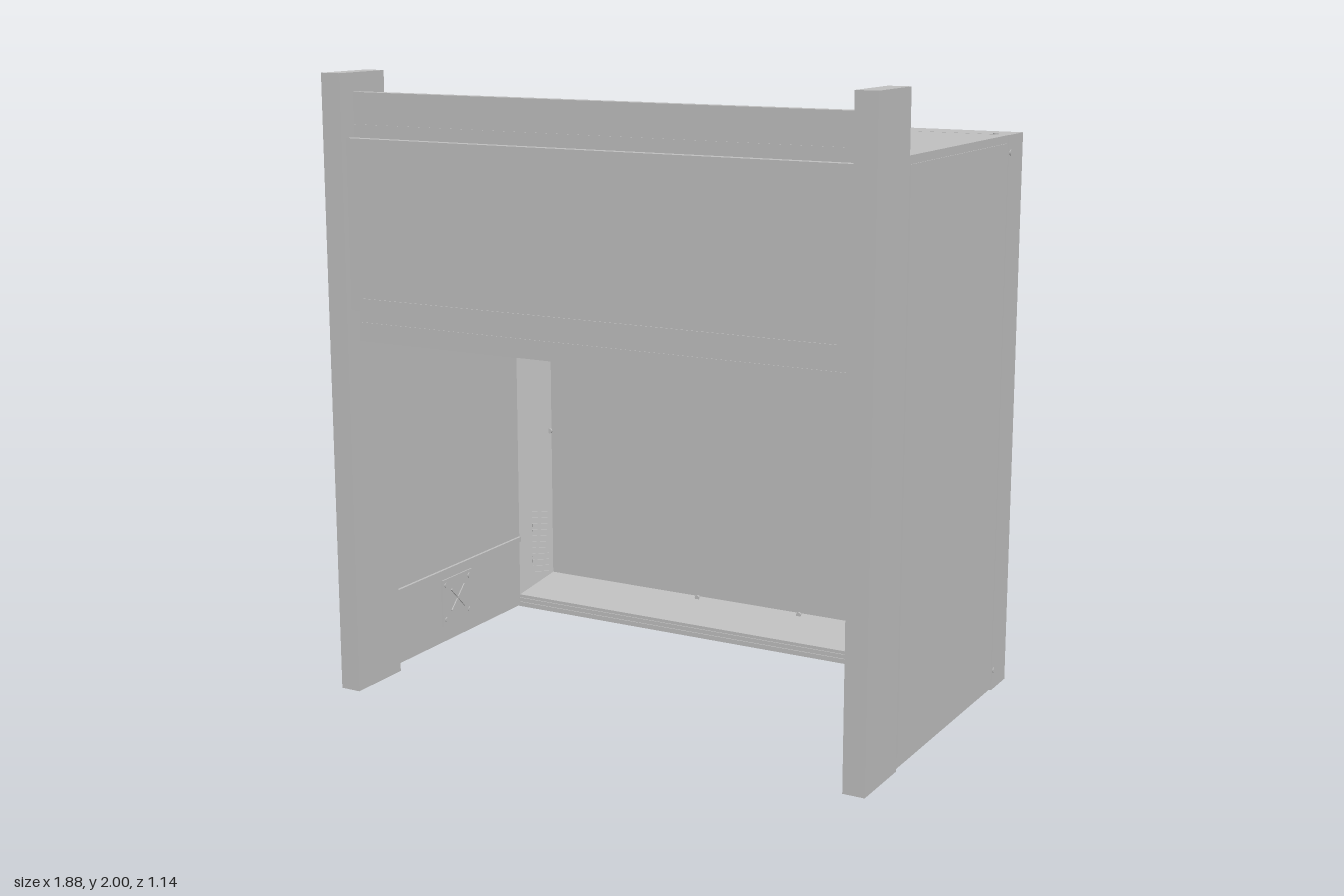
import * as THREE from 'three';

export function createModel() {
  const model = new THREE.Group();
  const steel = new THREE.MeshStandardMaterial({ color: 0xc0c0c0 });
  steel.name = 'light grey steel';

  const add = (name, geometry, parent = model) => {
    const mesh = new THREE.Mesh(geometry, steel);
    mesh.name = name;
    parent.add(mesh);
    return mesh;
  };
  // Box given by its limits on each axis
  const box = (name, x0, x1, y0, y1, z0, z1) => {
    const mesh = add(name, new THREE.BoxGeometry(x1 - x0, y1 - y0, z1 - z0));
    mesh.position.set((x0 + x1) / 2, (y0 + y1) / 2, (z0 + z1) / 2);
    return mesh;
  };
  // Box on the left or right side, x measured outward from the middle
  const sideBox = (name, s, x0, x1, y0, y1, z0, z1) =>
    box(name, Math.min(s * x0, s * x1), Math.max(s * x0, s * x1), y0, y1, z0, z1);
  // Small round screw head; axis is the direction it points along
  const screw = (x, y, z, axis) => {
    const mesh = add('screw', new THREE.CylinderGeometry(0.009, 0.009, 0.008, 12));
    mesh.position.set(x, y, z);
    if (axis === 'x') mesh.rotation.z = Math.PI / 2;
    if (axis === 'z') mesh.rotation.x = Math.PI / 2;
  };

  // Posts, walls and outer panels, mirrored
  for (const s of [-1, 1]) {
    sideBox('frontPost', s, 0.865, 0.935, 0, 2, 0.345, 0.57);
    sideBox('sideWall', s, 0.905, 0.932, 0.005, 1.81, -0.445, 0.345);
    sideBox('rearCorner', s, 0.905, 0.935, 0, 1.81, -0.57, -0.445);
    sideBox('sidePanel', s, 0.93, 0.935, s < 0 ? 0.27 : 0.04, 1.785, -0.44, 0.337);
    for (const y of [0.065, 1.755]) screw(s * 0.934, y, -0.46, 'x');
    for (const y of [0.15, 1.66]) screw(s * 0.8, y, -0.569, 'z');
    screw(s * 0.885, 1.81, -0.46, 'y');
  }

  // Roof with its cover panel and rear access plate
  box('roof', -0.932, 0.932, 1.75, 1.806, -0.57, 0.345);
  box('roofFront', -0.865, 0.865, 1.75, 1.806, 0.345, 0.475);
  box('roofRearStrip', -0.935, 0.935, 1.75, 1.81, -0.57, -0.452);
  box('roofPanel', -0.905, 0.905, 1.80, 1.81, -0.446, 0.335);
  box('roofAccessPlate', -0.14, 0.14, 1.807, 1.814, -0.555, -0.515);
  for (let i = 0; i < 16; i++) {
    const rivet = add('roofRivet', new THREE.CylinderGeometry(0.004, 0.004, 0.004, 8));
    rivet.position.set(-0.75 + i * 0.1, 1.808, 0.42);
  }

  // Rear shell, removable back panel and bottom sill
  box('rearShell', -0.905, 0.905, 0, 1.75, -0.566, -0.53);
  box('backPanel', -0.803, 0.803, 0.127, 1.683, -0.57, -0.56);
  for (const s of [-1, 1]) {
    sideBox('backFrameSide', s, 0.81, 0.935, 0, 1.81, -0.57, -0.56);
    box('backFrameRail', -0.81, 0.81, s < 0 ? 0 : 1.69, s < 0 ? 0.12 : 1.81, -0.57, -0.56);
  }
  box('rearSill', -0.905, 0.905, 0, 0.045, -0.57, -0.445);
  for (const y of [0.012, 0.028]) box('sillRidge', -0.905, 0.905, y, y + 0.006, -0.447, -0.441);

  // Inner lining: a flat back with sloped faces on all four sides
  const ring = (x, y0, y1, z) => [[-x, y0, z], [x, y0, z], [x, y1, z], [-x, y1, z]];
  const outer = ring(0.905, 0.045, 1.75, -0.445);
  const inner = ring(0.81, 0.125, 1.67, -0.525);
  const points = [];
  const quad = (a, b, c, d) => points.push(...a, ...b, ...c, ...a, ...c, ...d);
  for (let i = 0; i < 4; i++) {
    const j = (i + 1) % 4;
    quad(outer[i], outer[j], inner[j], inner[i]);
  }
  quad(...inner);
  const lining = new THREE.BufferGeometry();
  lining.setAttribute('position', new THREE.Float32BufferAttribute(points, 3));
  lining.computeVertexNormals();
  add('innerLining', lining);

  // Louvres on the sloped sides
  for (const s of [-1, 1]) {
    for (let i = 0; i < 11; i++) {
      const louvre = add('louvre', new THREE.BoxGeometry(0.06, 0.011, 0.008));
      louvre.position.set(s * 0.845, 0.125 + i * 0.0228, -0.495);
      louvre.rotation.y = -s * Math.atan2(0.08, 0.095);
    }
    screw(s * 0.815, 0.66, -0.522, 'z');
    screw(s * 0.2, 0.12, -0.52, 'z');
  }
  // Cover plate on the sloped floor
  const cover = add('floorCover', new THREE.BoxGeometry(0.095, 0.1, 0.006));
  cover.position.set(0.605, 0.09, -0.489);
  cover.rotation.x = -Math.PI / 4;

  // Front header: channel with flanges and a lower rail
  box('header', -0.865, 0.865, 1.155, 1.94, 0.49, 0.503);
  for (const [y0, y1] of [[1.90, 1.94], [1.80, 1.84], [1.155, 1.215]])
    box('headerFlange', -0.865, 0.865, y0, y1, 0.47, 0.505);

  // Sliding sash in front of the header
  box('sash', -0.865, 0.865, 1.26, 1.80, 0.515, 0.545);
  for (const s of [-1, 1]) sideBox('sashGuide', s, 0.835, 0.865, 1.26, 1.79, 0.5, 0.52);
  box('sashTrim', -0.82, 0.82, 1.295, 1.30, 0.543, 0.548);

  // Service strip and outlet on both faces of the right wall
  for (const [x, out] of [[-0.905, 1], [-0.932, -1]]) {
    const plate = (name, y0, y1, z0, z1, t) =>
      box(name, Math.min(x, x + out * t), Math.max(x, x + out * t), y0, y1, z0, z1);
    plate('serviceStrip', 0.04, 0.25, -0.44, 0.337, 0.002);
    plate('serviceRail', 0.25, 0.268, -0.44, 0.337, out > 0 ? 0.01 : 0.003);
    plate('outletPlate', 0.065, 0.23, -0.13, 0.05, out > 0 ? 0.007 : 0.003);
  }
  for (const a of [-1, 1]) {
    const bar = add('outletCross', new THREE.BoxGeometry(0.006, 0.006, 0.11));
    bar.position.set(-0.897, 0.148, -0.04);
    bar.rotation.x = a * Math.PI / 4;
    for (const y of [0.085, 0.21]) screw(-0.899, y, -0.04 + a * 0.07, 'x');
  }

  return model;
}
